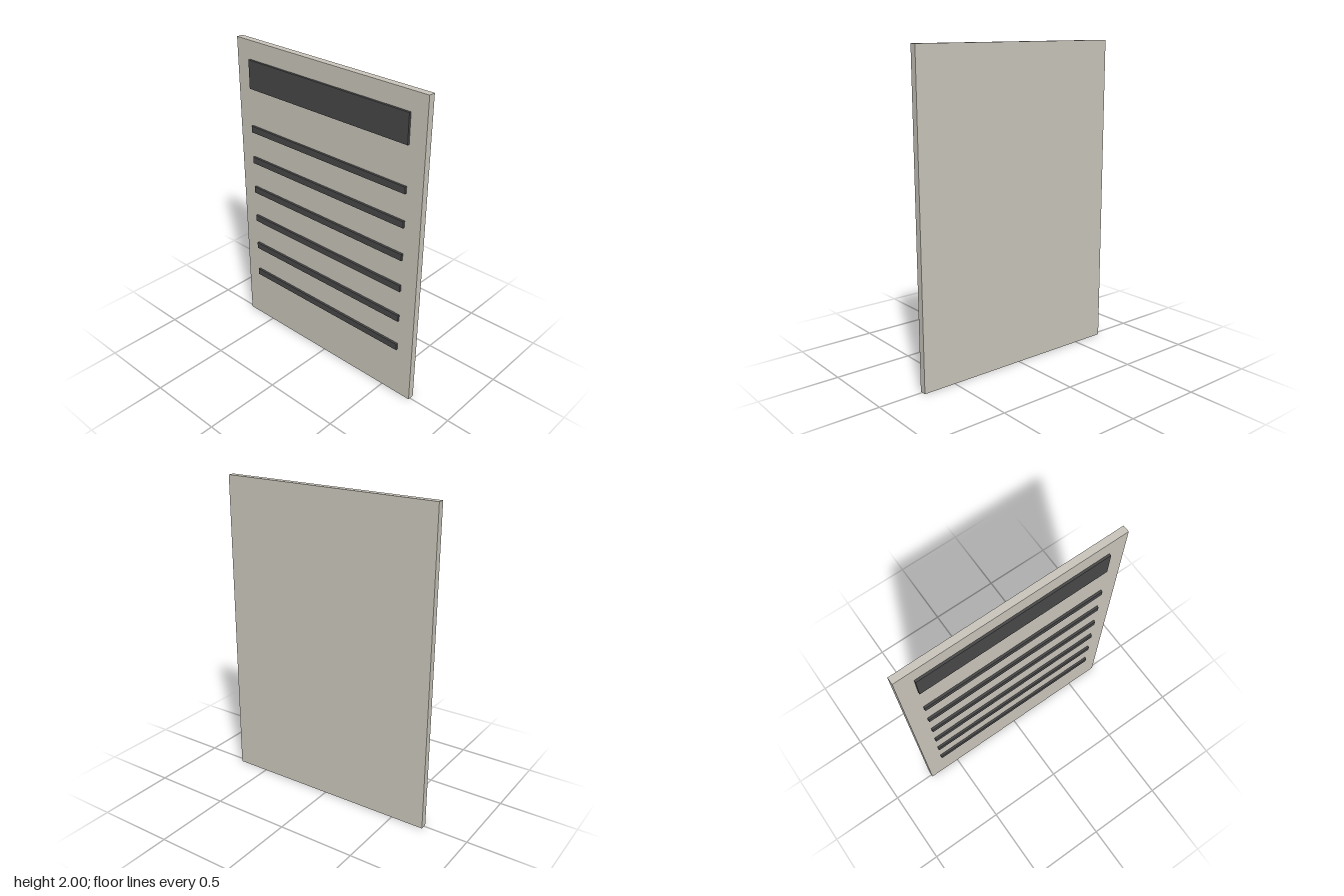
import * as THREE from 'three';

export function createModel() {
  const model = new THREE.Group();
  model.name = 'noticeBoard';

  const panelMaterial = new THREE.MeshStandardMaterial({ color: 0xcac6bc });
  const stripMaterial = new THREE.MeshStandardMaterial({ color: 0x484848 });

  function addBox(name, width, height, depth, y, z, material) {
    const mesh = new THREE.Mesh(new THREE.BoxGeometry(width, height, depth), material);
    mesh.name = name;
    mesh.position.set(0, y, z);
    model.add(mesh);
  }

  const panelDepth = 0.0429;
  const stripDepth = 0.0143;
  const panelZ = -stripDepth / 2;
  const stripZ = panelDepth / 2;
  const stripWidth = 1.214;

  // Flat backing panel
  addBox('panel', 1.4286, 2, panelDepth, 1, panelZ, panelMaterial);

  // Wide raised header near the top
  addBox('headerStrip', stripWidth, 0.183, stripDepth, 1.791, stripZ, stripMaterial);

  // Six evenly spaced raised lines below it
  for (let i = 0; i < 6; i++) {
    addBox(`lineStrip${i + 1}`, stripWidth, 0.0429, stripDepth, 1.432 - i * 0.2143, stripZ, stripMaterial);
  }

  return model;
}
